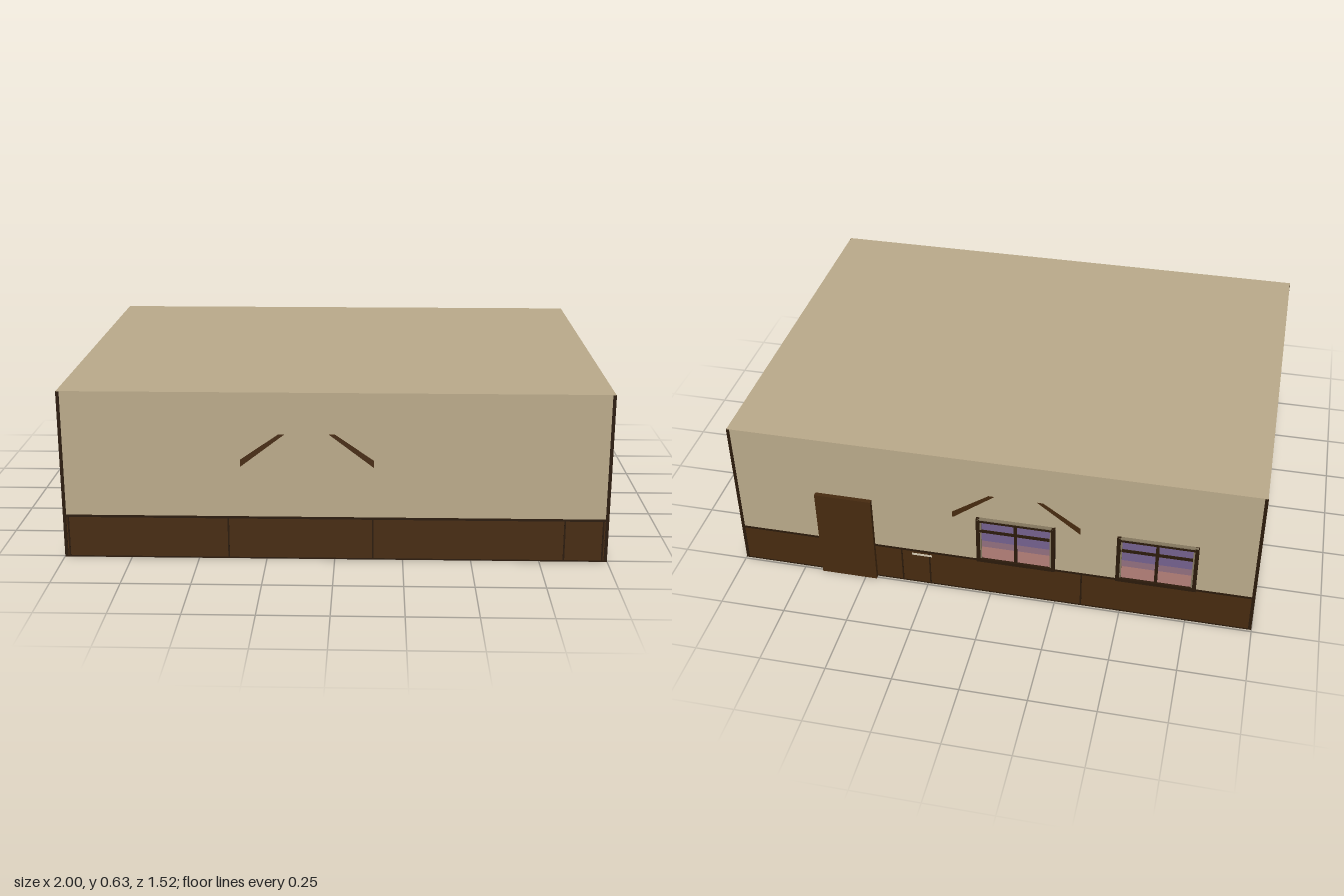
import * as THREE from 'three';

const material = (name, color) => {
  const m = new THREE.MeshStandardMaterial({ color });
  m.name = name;
  return m;
};

export function createModel() {
  const plaster = material('plaster', 0xbbab8b);
  const wood = material('wood', 0x472b10);
  const darkWood = material('darkWood', 0x2b1a0a);
  const trim = material('windowTrim', 0x85785f);
  const purple = material('duskPurple', 0x75628f);
  const mauve = material('duskMauve', 0x93707f);
  const pink = material('duskPink', 0xb5807a);
  const pale = material('paleTrim', 0xd6cbb4);

  const root = new THREE.Group();
  root.name = 'room';
  const H = 0.635, W = 0.165, X = 0.998, BACK = -0.74, FRONT = 0.756;
  const midZ = (BACK + FRONT) / 2, depth = FRONT - BACK;

  const box = (parent, name, mat, x0, x1, y0, y1, z0, z1) => {
    const mesh = new THREE.Mesh(new THREE.BoxGeometry(x1 - x0, y1 - y0, z1 - z0), mat);
    mesh.position.set((x0 + x1) / 2, (y0 + y1) / 2, (z0 + z1) / 2);
    mesh.name = name;
    parent.add(mesh);
    return mesh;
  };

  // Plaster walls with flat ceiling, wooden base and floor
  box(root, 'plasterWalls', plaster, -X, X, W, H, BACK, FRONT);
  box(root, 'wainscot', wood, -X, X, 0, W, BACK, FRONT);

  // Corner posts
  for (const sx of [-1, 1]) for (const z of [BACK, FRONT]) {
    const s = z > 0 ? 1 : -1;
    const a = z + s * 0.001, b = z - s * 0.011;
    box(root, 'cornerPost', darkWood, Math.min(sx * 0.987, sx * 0.9992), Math.max(sx * 0.987, sx * 0.9992),
      0, H - 0.001, Math.min(a, b), Math.max(a, b));
  }

  // Each wall group has local x along the wall and local z pointing outward
  const wall = (name, x, z, turn, half, seams) => {
    const g = new THREE.Group();
    g.name = name;
    g.position.set(x, 0, z);
    g.rotation.y = turn;
    root.add(g);
    box(g, 'wainscotRail', darkWood, -half, half, W - 0.009, W, -0.002, 0.0012);
    box(g, 'baseRail', darkWood, -half, half, 0, 0.005, -0.002, 0.0012);
    for (const s of seams) box(g, 'panelSeam', darkWood, s - 0.003, s + 0.003, 0, W, -0.002, 0.001);
    return g;
  };
  const front = wall('frontWall', 0, FRONT, 0, X, [-0.39, 0.14, 0.84, 0.98, -0.98]);
  const back = wall('backWall', 0, BACK, Math.PI, X, [-0.35, -0.24, 0.35]);
  const right = wall('rightWall', X, midZ, Math.PI / 2, depth / 2, [0.2, 0.73]);
  const left = wall('leftWall', -X, midZ, -Math.PI / 2, depth / 2, [-0.45, 0.45]);

  // Pair of slanted brace ends: inner edges at centre -/+ gap
  const braces = (g, centre, gap) => {
    for (const s of [-1, 1]) {
      const points = [[gap, 0.48], [gap + 0.022, 0.48], [gap + 0.162, 0.383], [gap + 0.162, 0.356]];
      const shape = new THREE.Shape(points.map(([x, y]) => new THREE.Vector2(centre + s * x, y)));
      const mesh = new THREE.Mesh(
        new THREE.ExtrudeGeometry(shape, { depth: 0.0015, bevelEnabled: false }), wood);
      mesh.name = 'braceEnd';
      g.add(mesh);
    }
  };
  braces(front, -0.1, 0.08);
  braces(back, 0.1, 0.08);
  braces(right, midZ - 0.11, 0.15);
  braces(left, 0.085 - midZ, 0.235);

  // Door
  box(back, 'door', wood, -0.675, -0.455, 0, 0.385, 0, 0.018);

  // Windows: dusk panes in three bands, trim, frame and glazing bars
  for (const cx of [0.1, 0.63]) {
    const g = new THREE.Group();
    g.name = 'window';
    g.position.x = cx;
    back.add(g);
    const x = 0.15, y0 = W, y1 = 0.372;
    box(g, 'lowerPane', pink, -x + 0.01, x - 0.01, y0 + 0.01, 0.235, 0, 0.006);
    box(g, 'middlePane', mauve, -x + 0.01, x - 0.01, 0.235, 0.265, 0, 0.006);
    box(g, 'upperPane', purple, -x + 0.01, x - 0.01, 0.265, y1 - 0.01, 0, 0.006);
    for (const s of [-1, 1]) {
      box(g, 'sideFrame', darkWood, s * 0.143 - 0.007, s * 0.143 + 0.007, y0, y1, 0, 0.014);
      box(g, 'sideTrim', trim, s * 0.133 - 0.003, s * 0.133 + 0.003, y0, y1, 0, 0.01);
    }
    box(g, 'headFrame', darkWood, -x, x, y1 - 0.014, y1 - 0.004, 0, 0.014);
    box(g, 'headTrim', trim, -x, x, y1 - 0.004, y1, 0, 0.014);
    box(g, 'sill', darkWood, -x, x, y0, y0 + 0.014, 0, 0.016);
    box(g, 'mullion', darkWood, -0.006, 0.006, y0, y1 - 0.01, 0, 0.01);
    box(g, 'glazingBar', darkWood, -x, x, 0.307, 0.319, 0, 0.01);
  }

  // Small pale edges on the back panelling
  box(back, 'paleEdge', pale, -0.31, -0.23, 0.138, 0.147, 0, 0.0016);

  // Recess panel low on the left wall
  const c = -midZ;
  box(left, 'recessBack', pink, c - 0.12, c + 0.31, 0.008, W + 0.002, 0, 0.0014);
  box(left, 'recessPanel', wood, c - 0.12, c + 0.22, 0.03, W + 0.004, 0, 0.0018);

  return root;
}
